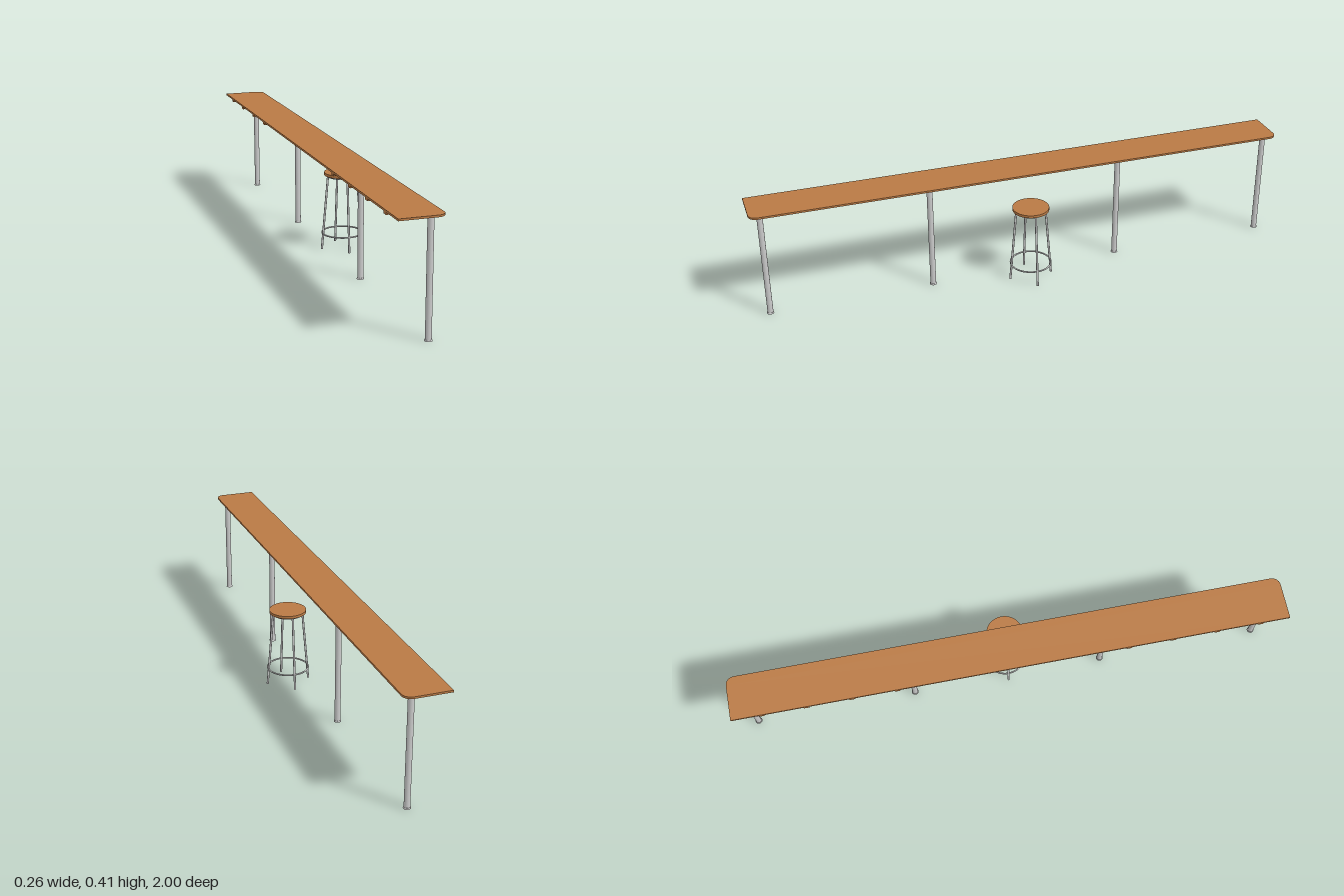
import * as THREE from 'three';

const wood = new THREE.MeshStandardMaterial({ color: 0xb97a45 });
const metal = new THREE.MeshStandardMaterial({ color: 0xcccccc });

function add(parent, name, geometry, material, x = 0, y = 0, z = 0) {
  const mesh = new THREE.Mesh(geometry, material);
  mesh.name = name;
  mesh.position.set(x, y, z);
  parent.add(mesh);
  return mesh;
}

// straight round bar between two points
function bar(parent, name, a, b, radius) {
  const dir = b.clone().sub(a);
  const mesh = add(parent, name, new THREE.CylinderGeometry(radius, radius, dir.length(), 16), metal);
  mesh.position.copy(a).add(b).multiplyScalar(0.5);
  mesh.quaternion.setFromUnitVectors(new THREE.Vector3(0, 1, 0), dir.normalize());
}

function createCounter() {
  const counter = new THREE.Group();
  counter.name = 'counter';
  const back = -0.133, front = 0.026, r = 0.03;
  const bottom = 0.402, thickness = 0.007;

  // long top with two rounded corners on the seating side
  const outline = new THREE.Shape();
  outline.moveTo(back, -1);
  outline.lineTo(front - r, -1);
  outline.absarc(front - r, -1 + r, r, -Math.PI / 2, 0, false);
  outline.lineTo(front, 1 - r);
  outline.absarc(front - r, 1 - r, r, 0, Math.PI / 2, false);
  outline.lineTo(back, 1);
  outline.closePath();
  const top = new THREE.ExtrudeGeometry(outline, { depth: thickness, bevelEnabled: false, curveSegments: 12 });
  top.rotateX(-Math.PI / 2);
  add(counter, 'counterTop', top, wood, 0, bottom, 0);

  // tapered support battens under the top
  const wedge = new THREE.Shape();
  wedge.moveTo(back, bottom);
  wedge.lineTo(back, 0.394);
  wedge.lineTo(-0.015, 0.4);
  wedge.lineTo(-0.015, bottom);
  wedge.closePath();
  const batten = new THREE.ExtrudeGeometry(wedge, { depth: 0.02, bevelEnabled: false });
  batten.translate(0, 0, -0.01);

  for (const side of [-1, 1]) {
    for (const z of [0.415, 0.575, 0.735, 0.893]) add(counter, 'batten', batten, wood, 0, 0, side * z);
    // posts with foot discs
    for (const z of [0.36, 0.96]) {
      add(counter, 'post', new THREE.CylinderGeometry(0.0105, 0.0105, 0.399, 24), metal, -0.0125, 0.2025, side * z);
      add(counter, 'postFoot', new THREE.CylinderGeometry(0.0115, 0.013, 0.005, 24), metal, -0.0125, 0.0025, side * z);
    }
  }
  return counter;
}

function createStool() {
  const stool = new THREE.Group();
  stool.name = 'stool';
  stool.position.x = 0.047;

  // round seat and the ring beneath it
  add(stool, 'seat', new THREE.CylinderGeometry(0.067, 0.067, 0.01, 48), wood, 0, 0.285, 0);
  const upper = new THREE.TorusGeometry(0.055, 0.0035, 12, 48).rotateX(Math.PI / 2);
  add(stool, 'seatRing', upper, metal, 0, 0.2765, 0);

  // four splayed legs
  for (let i = 0; i < 4; i++) {
    const a = i * Math.PI / 2;
    const at = (r, y) => new THREE.Vector3(r * Math.cos(a), y, r * Math.sin(a));
    bar(stool, 'stoolLeg', at(0.08, 0), at(0.056, 0.277), 0.004);
  }

  // foot rest ring
  const lower = new THREE.TorusGeometry(0.075, 0.003, 12, 64).rotateX(Math.PI / 2);
  add(stool, 'footRing', lower, metal, 0, 0.058, 0);
  return stool;
}

export function createModel() {
  const model = new THREE.Group();
  model.name = 'barCounterWithStool';
  model.add(createCounter(), createStool());
  return model;
}
